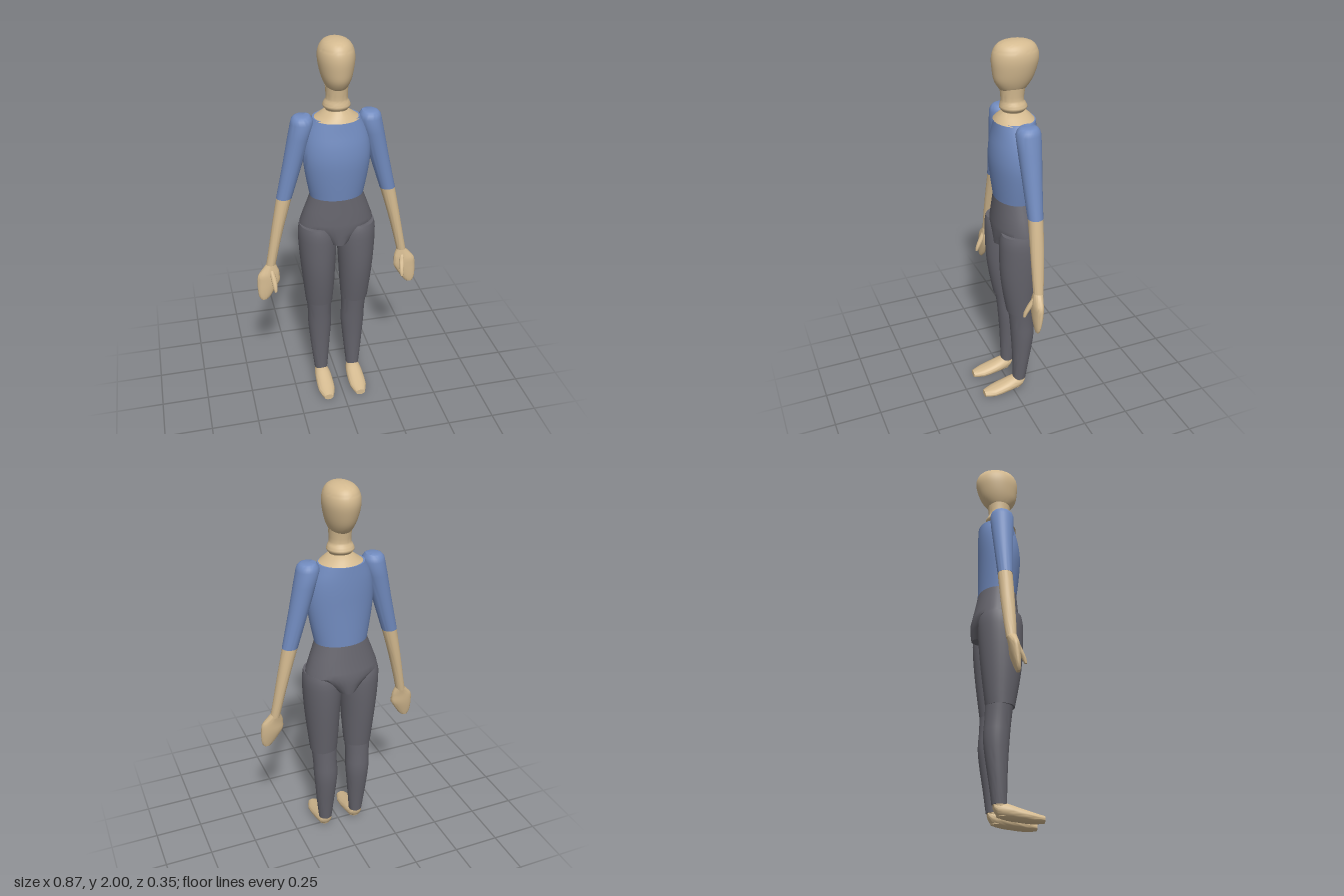
import * as THREE from 'three';
import { toCreasedNormals } from 'three/addons/utils/BufferGeometryUtils.js';

const mat = (name, color) => {
  const m = new THREE.MeshStandardMaterial({ color });
  m.name = name;
  return m;
};

// Catmull-Rom subdivision of the section list, for rounder shapes
function refine(rows, steps) {
  const out = [];
  for (let i = 0; i < rows.length - 1; i++) {
    const p = rows[Math.max(i - 1, 0)], a = rows[i], b = rows[i + 1], q = rows[Math.min(i + 2, rows.length - 1)];
    for (let s = 0; s < steps; s++) {
      const t = s / steps;
      out.push(a.map((v, k) => v + 0.5 * t * (b[k] - p[k] + t * (2 * p[k] - 5 * v + 4 * b[k] - q[k] + t * (3 * (v - b[k]) + q[k] - p[k])))));
    }
  }
  out.push(rows[rows.length - 1]);
  return out;
}

// Elliptical loft along y. Row: [y, xMin, xMax, zMin, zMax], y ascending.
function loft(rows, steps = 1, sides = 32, crease = 0.7) {
  const r = refine(rows, steps), pos = [], idx = [];
  for (const [y, x0, x1, z0, z1] of r) {
    for (let j = 0; j < sides; j++) {
      const a = (j / sides) * Math.PI * 2;
      pos.push((x0 + x1) / 2 + Math.cos(a) * (x1 - x0) / 2, y, (z0 + z1) / 2 + Math.sin(a) * (z1 - z0) / 2);
    }
  }
  for (let i = 0; i < r.length - 1; i++) {
    for (let j = 0; j < sides; j++) {
      const k = (j + 1) % sides, a = i * sides + j, b = i * sides + k;
      idx.push(a, a + sides, b, b, a + sides, b + sides);
    }
  }
  // end caps
  [r[0], r[r.length - 1]].forEach(([y, x0, x1, z0, z1], e) => {
    const c = pos.length / 3, base = e ? (r.length - 1) * sides : 0;
    pos.push((x0 + x1) / 2, y, (z0 + z1) / 2);
    for (let j = 0; j < sides; j++) {
      const a = base + j, b = base + (j + 1) % sides;
      if (e) idx.push(c, b, a); else idx.push(c, a, b);
    }
  });
  const g = new THREE.BufferGeometry();
  g.setAttribute('position', new THREE.Float32BufferAttribute(pos, 3));
  g.setIndex(idx);
  return toCreasedNormals(g, crease);
}

const sym = rows => rows.map(([y, w, z0, z1]) => [y, -w, w, z0, z1]);

export function createModel() {
  const skin = mat('skin', 0xd4ba90), shirt = mat('blue shirt', 0x728cc0), trousers = mat('grey trousers', 0x65646c);
  const root = new THREE.Group();
  root.name = 'figure';
  const add = (name, geo, m, parent = root) => {
    const mesh = new THREE.Mesh(geo, m);
    mesh.name = name;
    parent.add(mesh);
  };

  // head, neck and collar
  add('head', loft(sym([
    [1.755, 0.035, -0.07, 0.02], [1.77, 0.052, -0.095, 0.04], [1.81, 0.07, -0.125, 0.064],
    [1.86, 0.083, -0.145, 0.073], [1.91, 0.089, -0.156, 0.076], [1.95, 0.083, -0.15, 0.068],
    [1.98, 0.064, -0.128, 0.047], [1.995, 0.036, -0.09, 0.012], [2.0, 0.003, -0.045, -0.035]]), 4, 40, 1.2), skin);
  add('neck', loft(sym([
    [1.635, 0.06, -0.09, 0.04], [1.655, 0.053, -0.085, 0.025], [1.675, 0.068, -0.1, 0.037],
    [1.695, 0.062, -0.092, 0.033], [1.715, 0.053, -0.083, 0.03], [1.775, 0.056, -0.09, 0.036]]), 3, 32, 1), skin);
  add('collar', loft(sym([
    [1.61, 0.117, -0.138, 0.065], [1.635, 0.08, -0.115, 0.05], [1.66, 0.045, -0.085, 0.025]])), skin);

  // torso and pelvis
  add('torso', loft(sym([
    [1.2, 0.138, -0.137, 0.065], [1.3, 0.157, -0.137, 0.077], [1.4, 0.17, -0.138, 0.085],
    [1.48, 0.167, -0.14, 0.08], [1.55, 0.15, -0.14, 0.067], [1.615, 0.118, -0.138, 0.056]]), 3, 40), shirt);
  add('pelvis', loft(sym([
    [0.94, 0.06, -0.168, 0.072], [0.99, 0.12, -0.173, 0.075], [1.035, 0.193, -0.172, 0.077],
    [1.06, 0.189, -0.166, 0.076], [1.13, 0.164, -0.151, 0.07], [1.2, 0.138, -0.137, 0.065]]), 1, 40), trousers);

  for (const s of [1, -1]) {
    const side = s > 0 ? 'left' : 'right';
    const limb = new THREE.Group();
    limb.name = side + 'Limbs';
    limb.scale.x = s;
    root.add(limb);

    // arm
    add('sleeve', loft([
      [1.2, 0.23, 0.31, -0.075, 0.001], [1.4, 0.168, 0.267, -0.088, 0.012], [1.52, 0.133, 0.243, -0.097, 0.02],
      [1.595, 0.113, 0.227, -0.1, 0.024], [1.615, 0.118, 0.222, -0.094, 0.017], [1.627, 0.127, 0.211, -0.084, 0.006],
      [1.631, 0.13, 0.202, -0.077, -0.004]]), shirt, limb);
    add('forearm', loft([
      [0.81, 0.333, 0.382, -0.047, 0.003], [0.9, 0.313, 0.365, -0.056, 0.004],
      [1.05, 0.275, 0.338, -0.068, 0.003], [1.2, 0.231, 0.309, -0.074, 0]], 2), skin, limb);
    add('hand', loft([
      [0.625, 0.385, 0.418, -0.008, 0.01], [0.645, 0.365, 0.429, -0.014, 0.013], [0.69, 0.335, 0.433, -0.026, 0.015],
      [0.73, 0.313, 0.432, -0.034, 0.015], [0.765, 0.314, 0.428, -0.037, 0.014], [0.79, 0.316, 0.41, -0.04, 0.01],
      [0.825, 0.331, 0.378, -0.047, 0.004]], 2), skin, limb);
    add('thumb', loft([
      [0.69, 0.338, 0.352, 0.04, 0.053], [0.715, 0.333, 0.357, 0.027, 0.05],
      [0.76, 0.336, 0.364, 0.002, 0.03], [0.8, 0.345, 0.366, -0.02, 0.008]], 2, 16), skin, limb);

    // leg
    add('thigh', loft([
      [0.557, 0.025, 0.17, -0.106, 0.038], [0.68, 0.016, 0.183, -0.122, 0.061], [0.8, 0.01, 0.194, -0.136, 0.076],
      [0.92, 0.004, 0.202, -0.146, 0.08], [1.0, 0.01, 0.203, -0.146, 0.079], [1.04, 0.03, 0.195, -0.135, 0.07]], 2), trousers, limb);
    add('shin', loft([
      [0.085, 0.056, 0.128, -0.072, 0], [0.2, 0.045, 0.141, -0.088, 0.002], [0.3, 0.036, 0.15, -0.104, 0.006],
      [0.4, 0.028, 0.158, -0.115, 0.013], [0.48, 0.031, 0.159, -0.11, 0.02], [0.575, 0.027, 0.167, -0.106, 0.031]], 2), trousers, limb);
    add('ankle', loft([
      [0.03, 0.06, 0.122, -0.048, 0.02], [0.09, 0.058, 0.126, -0.07, 0]]), skin, limb);
    // the foot is lofted from heel to toe, so its last two columns are minus height
    add('foot', loft([
      [-0.064, 0.072, 0.112, -0.09, -0.065], [-0.045, 0.058, 0.126, -0.094, -0.03], [0, 0.047, 0.134, -0.093, -0.016],
      [0.05, 0.044, 0.137, -0.077, -0.01], [0.12, 0.046, 0.136, -0.056, -0.004], [0.175, 0.066, 0.116, -0.042, -0.008]
    ], 2).rotateX(Math.PI / 2), skin, limb);
  }
  return root;
}
